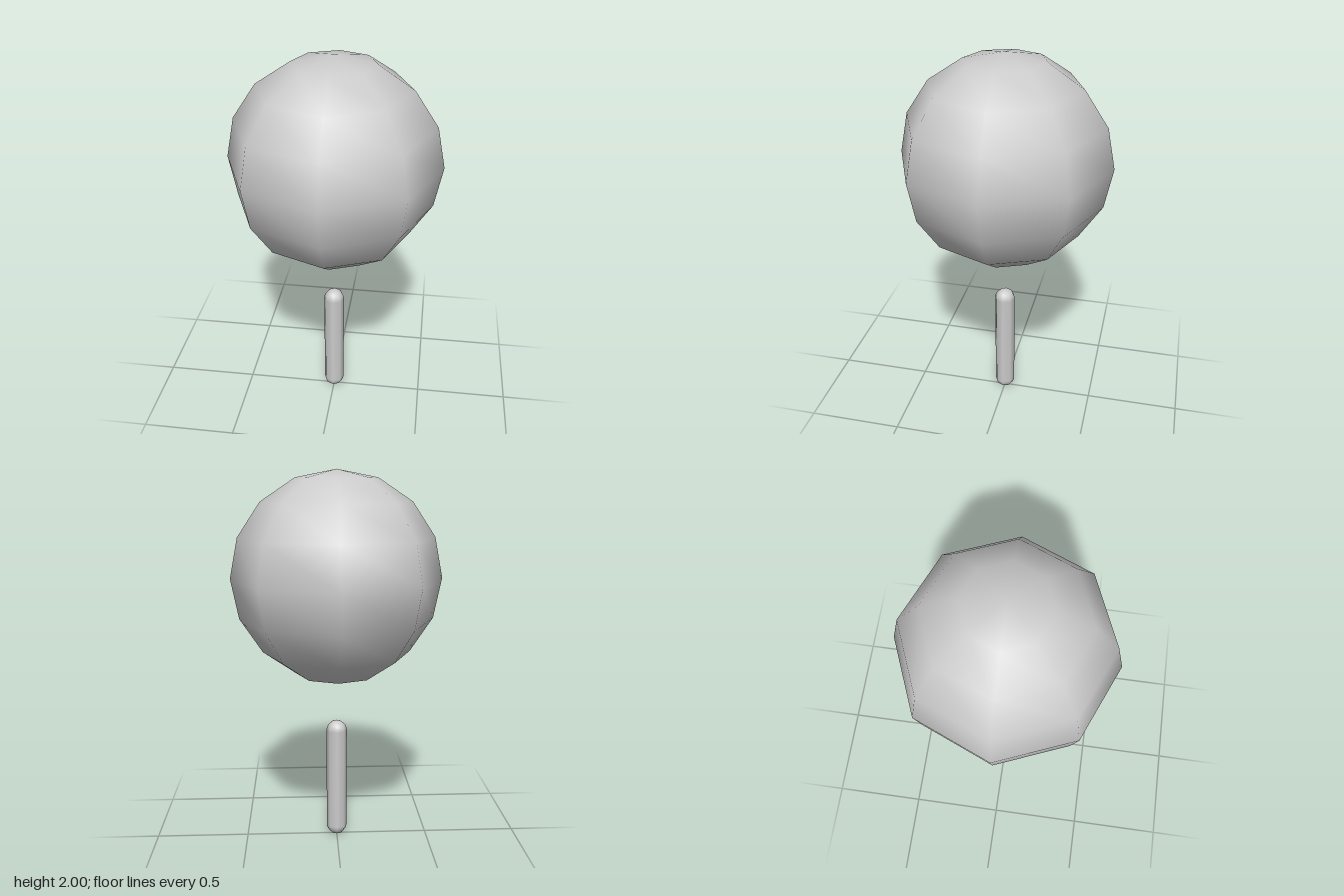
import * as THREE from 'three';

export function createModel() {
  const group = new THREE.Group();
  const material = new THREE.MeshStandardMaterial({ color: 0xcccccc });

  const addPart = (name, geometry, y) => {
    const mesh = new THREE.Mesh(geometry, material);
    mesh.name = name;
    mesh.position.y = y;
    group.add(mesh);
  };

  // Coarse, smooth-shaded ball floating above the stick
  const ballRadius = 0.5555;
  addPart('ball', new THREE.SphereGeometry(ballRadius, 8, 8), 2 - ballRadius);

  // Round-ended upright stick standing on the ground
  const stickRadius = 0.0555, stickLength = 0.5555;
  addPart('stick', new THREE.CapsuleGeometry(stickRadius, stickLength, 6, 8), stickLength / 2 + stickRadius);

  return group;
}
